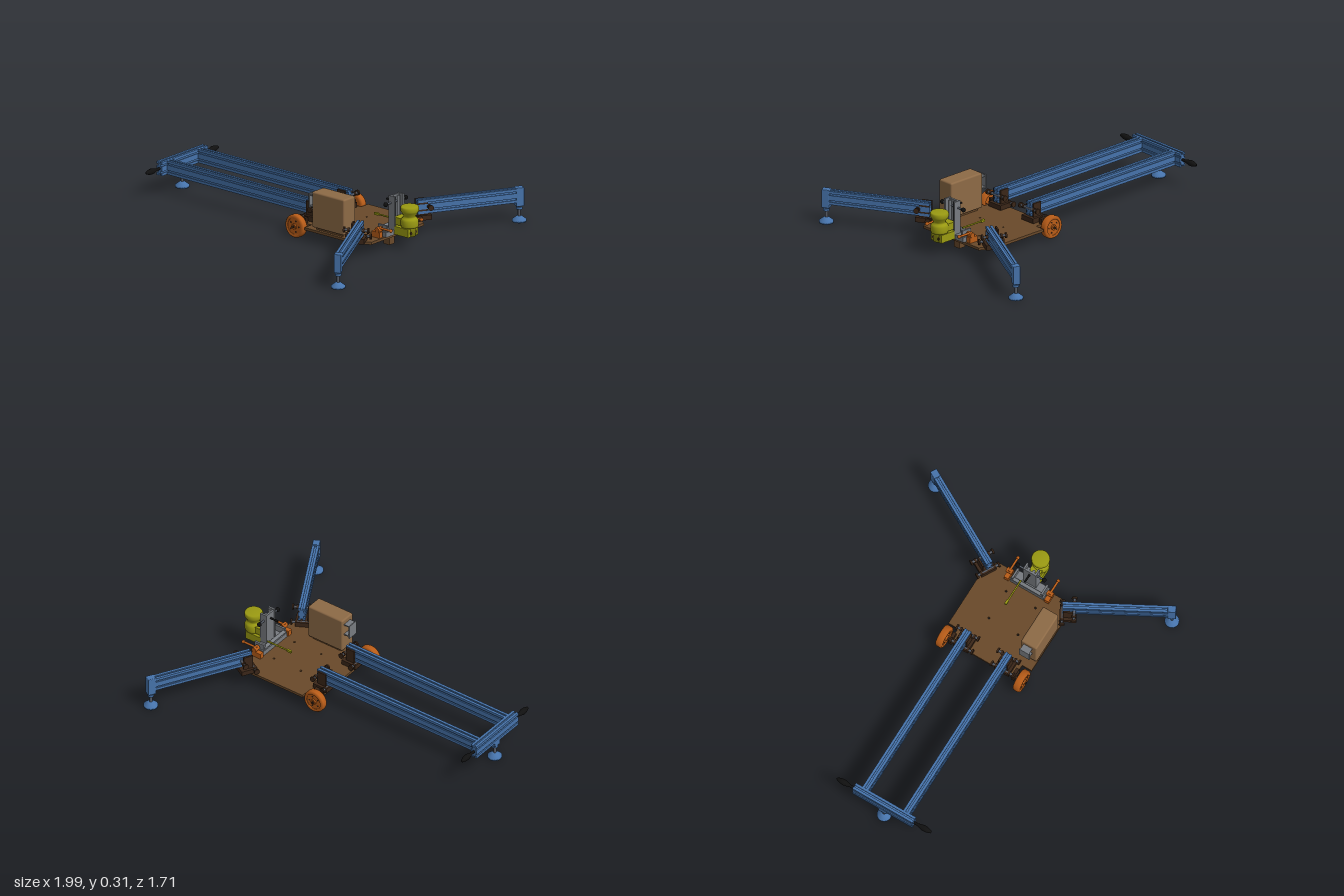
import * as THREE from 'three';
import { RoundedBoxGeometry } from 'three/addons/geometries/RoundedBoxGeometry.js';

const mat = (color) => new THREE.MeshStandardMaterial({ color });
const blue = mat(0x4673ab), brown = mat(0x69492a), tan = mat(0x8d6a46), orange = mat(0xb85c18);
const yellow = mat(0x9a9a12), grey = mat(0x777b80), black = mat(0x101010), dark = mat(0x3a2618), steel = mat(0x555b66);

function add(parent, name, geo, material, x = 0, y = 0, z = 0) {
  const m = new THREE.Mesh(geo, material);
  m.name = name;
  m.position.set(x, y, z);
  parent.add(m);
  return m;
}
const box = (w, h, d) => new THREE.BoxGeometry(w, h, d);
const cyl = (r, h, r2 = r, n = 24) => new THREE.CylinderGeometry(r, r2, h, n);
const cylX = (r, h) => cyl(r, h).rotateZ(Math.PI / 2);
const cylZ = (r, h) => cyl(r, h).rotateX(Math.PI / 2);
const lathe = (pts, n = 32) => new THREE.LatheGeometry(pts.map(([r, y]) => new THREE.Vector2(r, y)), n);

// Slotted profile: one slot above and below, two on each side; runs along +z
function beamGeo(length) {
  const W = 0.021, H = 0.0425, s = new THREE.Shape();
  const slot = [[-0.005, 0], [-0.005, 0.004], [-0.008, 0.004], [-0.008, 0.010], [0.008, 0.010], [0.008, 0.004], [0.005, 0.004], [0.005, 0]];
  s.moveTo(-W, -H);
  slot.forEach(([t, d]) => s.lineTo(t, -H + d));
  s.lineTo(W, -H);
  for (const c of [-0.021, 0.021]) slot.forEach(([t, d]) => s.lineTo(W - d, c + t));
  s.lineTo(W, H);
  slot.forEach(([t, d]) => s.lineTo(-t, H - d));
  s.lineTo(-W, H);
  for (const c of [0.021, -0.021]) slot.forEach(([t, d]) => s.lineTo(-W + d, c - t));
  s.closePath();
  return new THREE.ExtrudeGeometry(s, { depth: length, bevelEnabled: false });
}

// Levelling foot: domed pad, threaded stem and lock nut
function foot(parent, x, z) {
  const g = new THREE.Group();
  g.name = 'levellingFoot';
  g.position.set(x, 0, z);
  add(g, 'pad', lathe([[0, 0], [0.043, 0], [0.043, 0.012], [0.022, 0.028], [0.014, 0.034], [0, 0.034]]), blue);
  add(g, 'stem', cyl(0.009, 0.09, 0.009, 16), steel, 0, 0.075);
  add(g, 'lockNut', cyl(0.02, 0.014, 0.02, 6), blue, 0, 0.082);
  parent.add(g);
}

// Beam clamp: base, cheeks and two cross pins with flanged knobs
function clamp(parent, x, z, angle) {
  const g = new THREE.Group();
  g.name = 'beamClamp';
  g.position.set(x, 0, z);
  g.rotation.y = angle;
  add(g, 'clampBase', box(0.10, 0.03, 0.10), dark, 0, 0.1, 0);
  for (const s of [-1, 1]) {
    add(g, 'cheek', box(0.01, 0.11, 0.06), dark, s * 0.028, 0.145, 0);
    add(g, 'crossPin', cylX(0.008, 0.15), steel, 0, s > 0 ? 0.165 : 0.108, s * 0.035);
    for (const t of [-1, 1]) {
      add(g, 'knob', cylX(0.017, 0.01), dark, t * 0.072, s > 0 ? 0.165 : 0.108, s * 0.035);
      add(g, 'collar', cylX(0.013, 0.012), dark, t * 0.045, s > 0 ? 0.165 : 0.108, s * 0.035);
    }
  }
  parent.add(g);
}

export function createModel() {
  const root = new THREE.Group();
  root.name = 'portableBase';
  const beamY = 0.163;

  // Base plate with cut corners and bolt holes
  const p = new THREE.Shape();
  [[0.145, -0.22], [0.235, -0.22], [0.235, -0.285], [0.62, -0.285], [0.71, -0.235], [0.71, 0.235], [0.62, 0.285],
    [0.235, 0.285], [0.235, 0.22], [0.145, 0.22]].forEach(([x, y], i) => (i ? p.lineTo(x, y) : p.moveTo(x, y)));
  for (const x of [0.385, 0.58]) for (const z of [-0.1, 0.1]) {
    p.holes.push(new THREE.Path().absarc(x, z, 0.006, 0, Math.PI * 2, true));
  }
  add(root, 'basePlate', new THREE.ExtrudeGeometry(p, { depth: 0.016, bevelEnabled: false }).rotateX(-Math.PI / 2), brown, 0, 0.065, 0);
  add(root, 'restPost', box(0.045, 0.066, 0.045), brown, 0.642, 0.033, 0);

  // Long rails, wheels and splayed legs on both sides
  for (const s of [-1, 1]) {
    add(root, 'rail', beamGeo(1.155), blue, -0.935, beamY, s * 0.14).rotation.y = Math.PI / 2;
    clamp(root, 0.18, s * 0.14, Math.PI / 2);

    const wheel = new THREE.Group();
    wheel.name = 'wheel';
    wheel.position.set(0.155, 0.07, s * 0.265);
    add(wheel, 'tyre', lathe([[0.05, -0.016], [0.05, -0.022], [0.064, -0.022], [0.07, -0.014], [0.07, 0.014], [0.064, 0.022],
      [0.05, 0.022], [0.05, 0.016]], 40).rotateX(Math.PI / 2), orange);
    add(wheel, 'disc', cylZ(0.052, 0.032), orange);
    add(wheel, 'hub', cylZ(0.017, 0.052), orange);
    add(wheel, 'axleEnd', cylZ(0.008, 0.064), dark);
    for (let i = 0; i < 5; i++) {
      const a = i * Math.PI * 2 / 5;
      add(wheel, 'wheelBolt', cylZ(0.005, 0.036), dark, 0.034 * Math.cos(a), 0.034 * Math.sin(a), 0);
    }
    root.add(wheel);
    add(root, 'axle', cylZ(0.01, 0.09), dark, 0.155, 0.07, s * 0.21);
    add(root, 'axleBracket', box(0.06, 0.06, 0.02), dark, 0.165, 0.085, s * 0.215);

    const angle = Math.atan2(0.31, s * 0.56);
    add(root, 'leg', beamGeo(0.63), blue, 0.64, beamY, s * 0.25).rotation.y = angle;
    add(root, 'legEnd', new RoundedBoxGeometry(0.044, 0.116, 0.05, 2, 0.005), blue, 0.95, 0.153, s * 0.81).rotation.y = angle;
    foot(root, 0.95, s * 0.81);
    clamp(root, 0.645, s * 0.285, angle);

    // Toggle levers beside the drive unit
    const lever = new THREE.Group();
    lever.name = 'toggleLever';
    lever.position.set(0, 0, s * 0.138);
    add(lever, 'leverBase', box(0.06, 0.035, 0.03), orange, 0.67, 0.098, 0);
    add(lever, 'leverPivot', cylZ(0.016, 0.04), orange, 0.685, 0.13, 0);
    add(lever, 'leverArm', cylX(0.007, 0.1), orange, 0.725, 0.14, 0);
    add(lever, 'leverGrip', new THREE.SphereGeometry(0.011, 16, 10), orange, 0.775, 0.14, 0);
    root.add(lever);

    // Pushing handles at the far end
    const grip = lathe([[0, 0], [0.009, 0], [0.008, 0.025], [0.018, 0.065], [0.016, 0.09], [0.008, 0.115], [0, 0.12]], 20);
    add(root, 'handle', grip, black, -0.955, beamY, s * 0.205).rotation.x = s * Math.PI / 2;
  }

  // Cross beam at the far end
  add(root, 'crossBeam', beamGeo(0.41), blue, -0.955, beamY, -0.205);
  add(root, 'footBlock', box(0.042, 0.03, 0.05), blue, -0.955, 0.109, 0);
  foot(root, -0.955, 0);

  // Control cabinet with a grey bail on its end
  add(root, 'cabinet', new RoundedBoxGeometry(0.25, 0.22, 0.106, 3, 0.01), tan, 0.415, 0.205, 0.231);
  for (const z of [0.2, 0.26]) add(root, 'cabinetFoot', box(0.2, 0.02, 0.015), brown, 0.415, 0.088, z);
  add(root, 'bailPlate', box(0.006, 0.09, 0.07), grey, 0.25, 0.245, 0.226);
  for (const y of [0.21, 0.28]) add(root, 'bailArm', box(0.045, 0.008, 0.06), grey, 0.27, y, 0.226);

  // Grey mounting frame and upright column
  add(root, 'frameBase', box(0.075, 0.03, 0.23), grey, 0.683, 0.096, 0);
  add(root, 'frameBar', cylZ(0.011, 0.2), grey, 0.655, 0.125, 0);
  for (const s of [-1, 1]) {
    add(root, 'frameEnd', box(0.07, 0.05, 0.012), grey, 0.683, 0.125, s * 0.1);
    add(root, 'columnSide', box(0.045, 0.22, 0.012), grey, 0.7, 0.205, s * 0.039);
    add(root, 'columnRod', cyl(0.009, 0.2), grey, 0.7, 0.205, s * 0.018);
    add(root, 'clampKnob', new THREE.SphereGeometry(0.014, 16, 10), black, 0.695, 0.273, s * 0.09);
  }
  add(root, 'columnBack', box(0.012, 0.215, 0.08), grey, 0.685, 0.205, 0);
  add(root, 'knobRod', cylZ(0.006, 0.18), steel, 0.695, 0.273, 0);
  add(root, 'columnLever', cylX(0.006, 0.06), black, 0.655, 0.273, 0);

  // Drive unit: flared head over a round body on a bracket
  add(root, 'driveHead', lathe([[0, 0.085], [0.036, 0.085], [0.036, 0.135], [0.05, 0.14], [0.053, 0.15], [0.053, 0.18], [0.046, 0.192],
    [0.036, 0.198], [0.036, 0.208], [0.05, 0.232], [0.055, 0.24], [0.055, 0.258], [0.05, 0.266], [0, 0.266]], 40), yellow, 0.803, 0, 0);
  add(root, 'driveBracket', box(0.11, 0.05, 0.09), yellow, 0.775, 0.11, 0);
  add(root, 'driveArm', box(0.06, 0.045, 0.07), yellow, 0.74, 0.165, 0);
  for (const s of [-1, 1]) add(root, 'bracketBolt', cylX(0.008, 0.01), dark, 0.83, 0.108, s * 0.022);

  // Release rod over the plate
  add(root, 'releaseRod', cylX(0.005, 0.16), yellow, 0.585, 0.14, -0.05);
  add(root, 'releaseTip', box(0.03, 0.014, 0.014), yellow, 0.505, 0.14, -0.05);
  return root;
}
